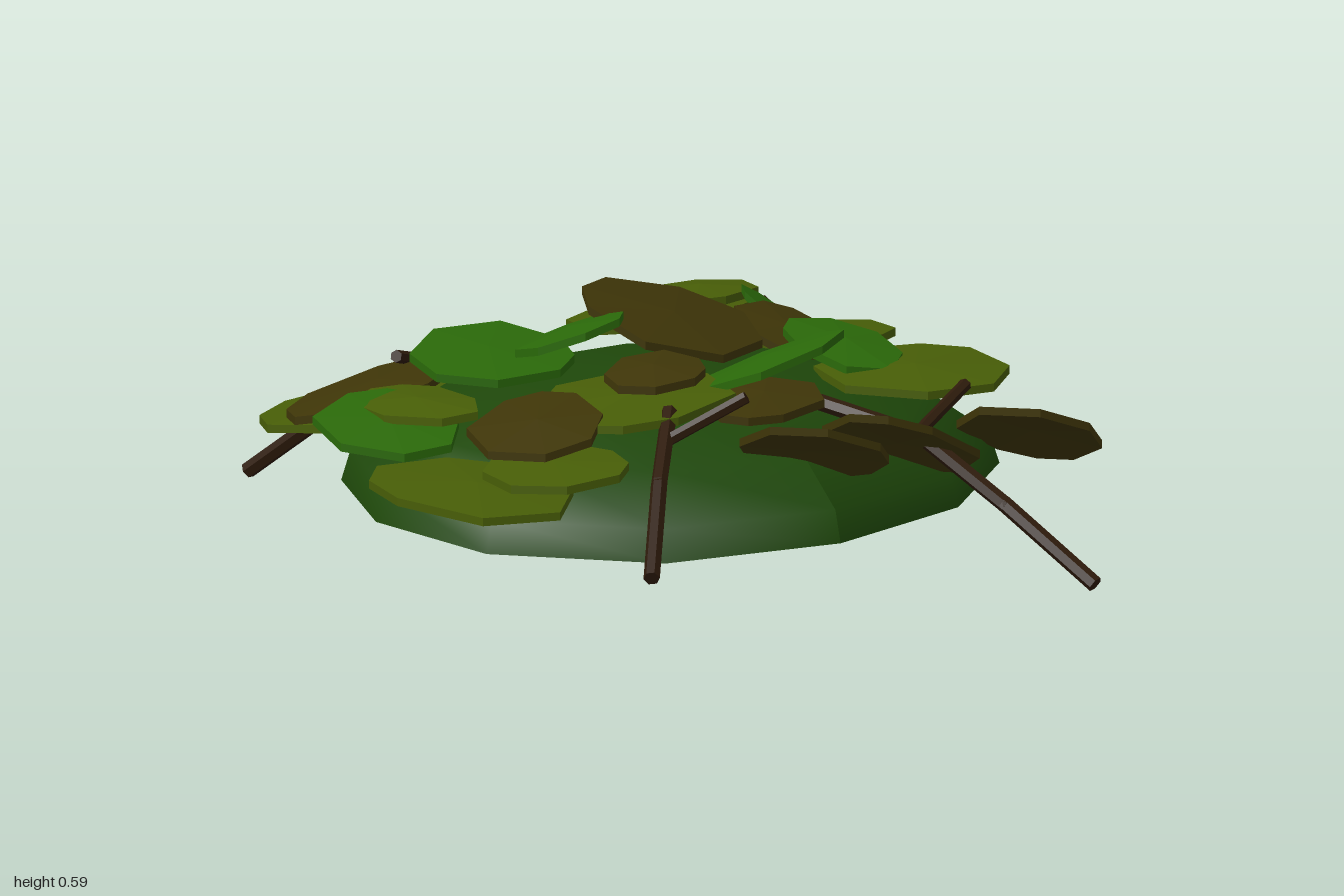
import * as THREE from 'three';

const paint = (name, hex) => {
  const m = new THREE.MeshStandardMaterial({ color: hex });
  m.name = name;
  return m;
};

export function createModel() {
  const model = new THREE.Group();
  model.name = 'leafPile';
  const moundGreen = paint('moundGreen', 0x1e470a);
  const green = paint('leafGreen', 0x2a6809);
  const olive = paint('leafOlive', 0x475d07);
  const brown = paint('leafBrown', 0x3e3508);
  const bark = paint('bark', 0x2e1b0b);

  const add = (name, geometry, material, parent) => {
    const mesh = new THREE.Mesh(geometry, material);
    mesh.name = name;
    parent.add(mesh);
    return mesh;
  };

  // Mound: low irregular dome with a flat underside
  const SIDES = 11;
  const profile = [[1, 0.2], [0.97, 0.27], [0.79, 0.365], [0.45, 0.435], [0, 0.455]]
    .map(([r, y]) => new THREE.Vector2(r, y));
  const shapeMound = (g) => {
    const p = g.attributes.position;
    for (let i = 0; i < p.count; i++) {
      const a = Math.atan2(p.getZ(i), p.getX(i));
      const k = 1 + 0.03 * Math.sin(3 * a + 1);
      p.setX(i, p.getX(i) * 0.73 * k - 0.08);
      p.setZ(i, p.getZ(i) * 0.65 * k - 0.03);
    }
    g.computeVertexNormals();
    return g;
  };
  add('mound', shapeMound(new THREE.LatheGeometry(profile, SIDES)), moundGreen, model);
  const base = new THREE.CircleGeometry(1, SIDES).rotateX(Math.PI / 2).rotateY(-Math.PI / 2);
  add('moundBase', shapeMound(base.translate(0, 0.2, 0)), moundGreen, model);

  // Leaves: thin angular plates that tip one way and droop away from the centre
  const rim = [[-0.35, -1], [0.5, -0.85], [1, -0.25], [0.85, 0.5], [0.1, 1],
    [-0.75, 0.75], [-1, -0.15], [-0.8, -0.7]];
  const leafGeometry = (w, d, slopeX, slopeZ, turns) => {
    const source = new THREE.CylinderGeometry(1, 1, 0.018, rim.length);
    const p = source.attributes.position;
    for (let i = 0; i < p.count; i++) {
      const px = p.getX(i), pz = p.getZ(i);
      if (Math.hypot(px, pz) < 0.5) {
        p.setY(i, p.getY(i) + 0.012); // raised middle
        continue;
      }
      const step = Math.round((Math.atan2(pz, px) / (Math.PI * 2) - 0.25) * rim.length);
      let [u, v] = rim[(step + 2 * rim.length) % rim.length];
      for (let t = 0; t < turns; t++) [u, v] = [-v, u];
      p.setXYZ(i, u * w, p.getY(i) + u * w * slopeX + v * d * slopeZ, v * d);
    }
    const g = source.toNonIndexed();
    g.computeVertexNormals();
    return g;
  };
  // Each spot is x, y, z, half width, half depth
  const scatter = (name, material, droop, tipX, tipZ, spots) => {
    const group = new THREE.Group();
    group.name = name;
    model.add(group);
    spots.forEach(([x, y, z, w, d], i) => {
      const g = leafGeometry(w, d, tipX - droop * x, tipZ - droop * z, i % 4);
      add('leaf', g, material, group).position.set(x, y, z);
    });
  };
  scatter('oliveLeaves', olive, 0.1, 0.05, 0.05, [
    [-0.51, 0.33, -0.55, 0.23, 0.17],
    [-0.63, 0.42, -0.18, 0.1, 0.19],
    [0.25, 0.42, -0.53, 0.21, 0.16],
    [0.36, 0.45, -0.52, 0.12, 0.12],
    [0.62, 0.33, -0.45, 0.17, 0.17],
    [0.36, 0.44, 0.27, 0.2, 0.22],
    [-0.64, 0.39, 0.33, 0.14, 0.18],
    [-0.34, 0.47, 0.21, 0.21, 0.21],
  ]);
  scatter('flatOliveLeaves', olive, 0, 0.03, 0, [[-0.78, 0.345, 0.25, 0.18, 0.28]]);
  scatter('brownLeaves', brown, 0.4, 0, 0, [
    [-0.54, 0.39, -0.45, 0.2, 0.16],
    [-0.6, 0.45, 0.22, 0.14, 0.15],
    [-0.28, 0.52, 0.2, 0.11, 0.1],
    [-0.11, 0.47, 0.37, 0.14, 0.1],
  ]);
  scatter('droopingBrownLeaves', brown, 0, -0.45, 0.35, [
    [0.57, 0.35, -0.05, 0.14, 0.12],
    [0.56, 0.31, 0.42, 0.15, 0.16],
    [-0.11, 0.39, 0.54, 0.14, 0.19],
    [0.13, 0.37, 0.53, 0.17, 0.16],
  ]);
  scatter('topBrownLeaves', brown, 0, -0.2, -0.35, [
    [0.02, 0.52, -0.14, 0.21, 0.15],
    [0.31, 0.45, -0.12, 0.11, 0.12],
  ]);
  scatter('tippedGreenLeaves', green, 0, 0.25, 0.33, [
    [-0.04, 0.53, 0.3, 0.155, 0.165],
    [-0.25, 0.53, -0.14, 0.1, 0.14],
  ]);
  scatter('sideGreenLeaves', green, 0.2, 0, -0.15, [
    [0.3, 0.47, 0.1, 0.11, 0.155],
    [-0.71, 0.39, -0.17, 0.14, 0.18],
    [-0.34, 0.46, -0.32, 0.17, 0.18],
  ]);
  scatter('steepGreenLeaves', green, 0, -0.7, -0.4, [[0.46, 0.39, -0.27, 0.15, 0.1]]);

  // Twigs: straight six-sided sticks laid end to end
  const twig = (radius, ...points) => {
    const group = new THREE.Group();
    group.name = 'twig';
    model.add(group);
    for (let i = 1; i < points.length; i++) {
      const a = new THREE.Vector3(...points[i - 1]), b = new THREE.Vector3(...points[i]);
      const dir = b.clone().sub(a);
      const g = new THREE.CylinderGeometry(radius, radius, dir.length() + radius * 0.6, 6).toNonIndexed();
      g.computeVertexNormals();
      const stick = add('stick', g, bark, group);
      stick.position.copy(a).lerp(b, 0.5);
      stick.quaternion.setFromUnitVectors(new THREE.Vector3(0, 1, 0), dir.normalize());
    }
  };
  twig(0.018, [-0.27, 0.41, -0.5], [-0.36, 0.34, -0.69], [-0.49, 0.09, -0.99]);
  twig(0.014, [-0.31, 0.39, -0.57], [-0.46, 0.44, -0.49]);
  twig(0.018, [0.5, 0.33, -0.26], [0.7, 0.2, -0.35], [0.94, 0.025, -0.45]);
  twig(0.014, [0.56, 0.3, -0.29], [0.45, 0.44, -0.42]);
  twig(0.018, [0.07, 0.43, 0.33], [0.17, 0.39, 0.55], [0.24, 0.27, 0.77], [0.32, 0.13, 0.98]);
  twig(0.014, [0.16, 0.39, 0.55], [0.34, 0.46, 0.48]);
  twig(0.018, [-0.36, 0.48, 0.37], [-0.53, 0.39, 0.57], [-0.7, 0.255, 0.78]);
  twig(0.014, [-0.42, 0.44, 0.44], [-0.29, 0.54, 0.55]);
  return model;
}
